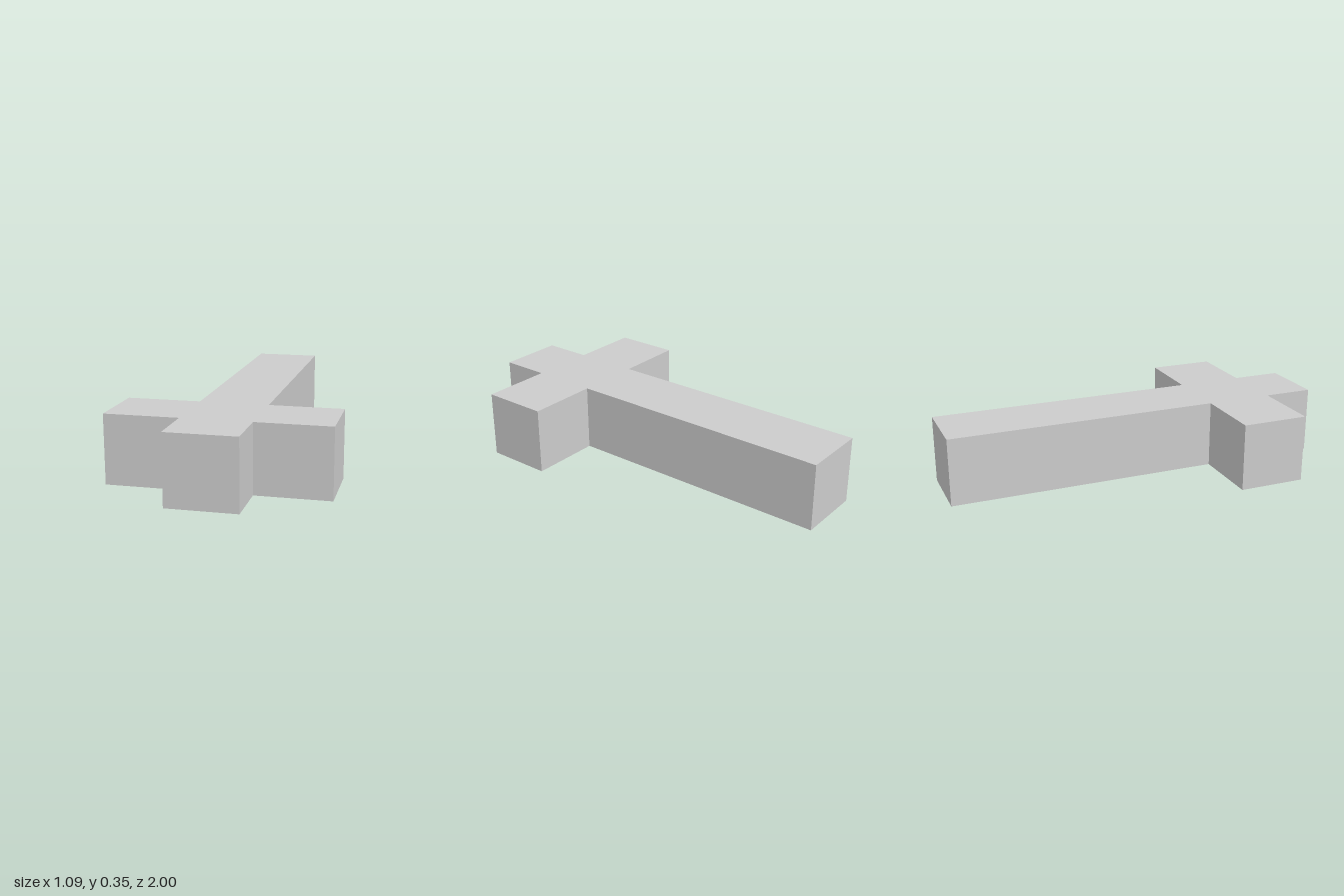
import * as THREE from 'three';

export function createModel() {
  const group = new THREE.Group();
  const height = 0.346;

  // Half outline of the cross as [x, z], from the front end to the back end
  const half = [[0.173, 1], [0.173, 0.742], [0.543, 0.742], [0.543, 0.398], [0.173, 0.398], [0.173, -1]];
  const mirrored = half.map(([x, z]) => [-x, z]).reverse();
  const outline = [...half, ...mirrored].map(([x, z]) => new THREE.Vector2(x, -z));

  // Solid cross lying flat on the ground
  const geometry = new THREE.ExtrudeGeometry(new THREE.Shape(outline), { depth: height, bevelEnabled: false });
  geometry.rotateX(-Math.PI / 2);

  const material = new THREE.MeshStandardMaterial({ color: 0xcccccc, flatShading: true });
  const cross = new THREE.Mesh(geometry, material);
  cross.name = 'cross';
  group.add(cross);
  return group;
}
